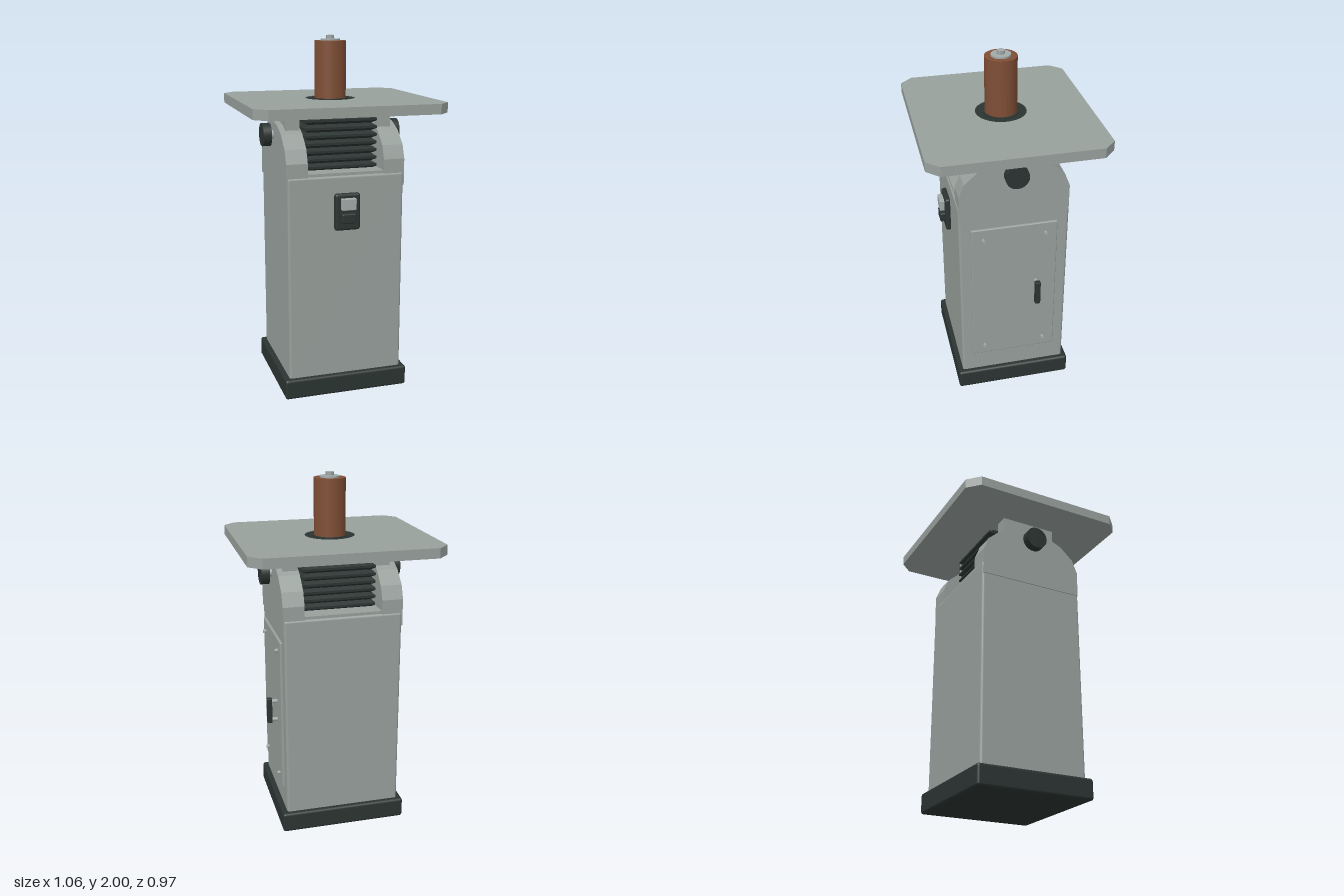
import * as THREE from 'three';
import { RoundedBoxGeometry } from 'three/addons/geometries/RoundedBoxGeometry.js';

const mat = (name, color) => {
  const m = new THREE.MeshStandardMaterial({ color });
  m.name = name;
  return m;
};

export function createModel() {
  const root = new THREE.Group();
  root.name = 'spindleSander';
  const grey = mat('grey paint', 0x98a09c);
  const dark = mat('dark rubber', 0x2b3432);
  const brown = mat('abrasive brown', 0x7f4e35);
  const steel = mat('steel', 0xa3abaa);

  const add = (name, geo, m, x = 0, y = 0, z = 0, parent = root) => {
    const mesh = new THREE.Mesh(geo, m);
    mesh.name = name;
    mesh.position.set(x, y, z);
    parent.add(mesh);
    return mesh;
  };
  // Boxes given by their min and max corners; r > 0 rounds the edges
  const box = (name, m, [x0, y0, z0], [x1, y1, z1], r = 0) => {
    const s = [x1 - x0, y1 - y0, z1 - z0];
    const g = r ? new RoundedBoxGeometry(...s, 3, r) : new THREE.BoxGeometry(...s);
    return add(name, g, m, (x0 + x1) / 2, (y0 + y1) / 2, (z0 + z1) / 2);
  };
  const rod = (name, m, r, y0, y1, n = 32) =>
    add(name, new THREE.CylinderGeometry(r, r, y1 - y0, n), m, 0, (y0 + y1) / 2, 0);
  // Cylinder lying along x
  const rodX = (name, m, r, x0, x1, y, z, n = 24) => {
    const g = new THREE.CylinderGeometry(r, r, Math.abs(x1 - x0), n).rotateZ(Math.PI / 2);
    return add(name, g, m, (x0 + x1) / 2, y, z);
  };

  // Cabinet
  box('base', dark, [-0.36, 0, -0.335], [0.36, 0.115, 0.335], 0.015);
  box('cabinet', grey, [-0.33, 0.08, -0.307], [0.33, 1.265, 0.307], 0.014);
  box('sill', grey, [-0.32, 1.2, -0.298], [0.32, 1.28, 0.298]);

  // Arched cheeks with tilt knobs and table brackets
  const half = [[0.302, 1.19], [0.302, 1.34], [0.272, 1.415], [0.195, 1.485], [0.11, 1.522], [0.04, 1.535]];
  const outline = [...half, ...half.slice().reverse().map(([z, y]) => [-z, y])];
  const cheekShape = new THREE.Shape(outline.map(([z, y]) => new THREE.Vector2(z, y)));
  for (const s of [1, -1]) {
    const g = new THREE.ExtrudeGeometry(cheekShape, { depth: 0.119, bevelEnabled: false });
    g.translate(0, 0, -0.0595).rotateY(Math.PI / 2);
    add('cheek', g, grey, s * 0.2755, 0, 0);
    const b = box('tableBracket', grey, [0.222, 1.4, -0.16], [0.302, 1.602, 0.16]);
    b.position.x *= s;
    rodX('knobShaft', steel, 0.025, s * 0.33, s * 0.36, 1.46, 0);
    rodX('knob', dark, 0.064, s * 0.353, s * 0.4, 1.46, 0, 32);
  }

  // Square pleated bellows
  const pts = [];
  const folds = 7, y0 = 1.275, pitch = 0.0425, k = Math.SQRT2;
  for (let i = 0; i < folds; i++) {
    pts.push(new THREE.Vector2(0.182 * k, y0 + i * pitch));
    pts.push(new THREE.Vector2(0.207 * k, y0 + (i + 0.35) * pitch));
    pts.push(new THREE.Vector2(0.207 * k, y0 + (i + 0.65) * pitch));
  }
  pts.push(new THREE.Vector2(0.182 * k, y0 + folds * pitch), new THREE.Vector2(0, y0 + folds * pitch));
  const bellows = new THREE.LatheGeometry(pts, 4).rotateY(Math.PI / 4).toNonIndexed();
  bellows.computeVertexNormals();
  add('bellows', bellows, dark);
  box('bellowsCollar', dark, [-0.16, 1.565, -0.16], [0.16, 1.602, 0.16]);

  // Table with clipped corners and a round throat
  const X = 0.532, Z = 0.483, c = 0.066;
  const top = new THREE.Shape([[X, c - Z], [X, Z - c], [X - c, Z], [c - X, Z], [-X, Z - c], [-X, c - Z], [c - X, -Z], [X - c, -Z]]
    .map(p => new THREE.Vector2(...p)));
  top.holes.push(new THREE.Path().absarc(0, 0, 0.14, 0, Math.PI * 2, true));
  const topGeo = new THREE.ExtrudeGeometry(top, { depth: 0.055, bevelEnabled: false, curveSegments: 32 });
  add('table', topGeo.rotateX(-Math.PI / 2), grey, 0, 1.6, 0);
  rod('throatInsert', dark, 0.14, 1.601, 1.652, 64);

  // Sanding spindle
  rod('drumSeat', dark, 0.1, 1.64, 1.656);
  rod('sandingDrum', brown, 0.088, 1.64, 1.97, 48);
  rod('washer', steel, 0.054, 1.965, 1.98);
  rod('hexNut', steel, 0.023, 1.975, 2.0, 6);

  // Access door with bolts and handle
  box('door', grey, [0.32, 0.24, -0.242], [0.343, 1.125, 0.242], 0.006);
  for (const y of [0.305, 1.06])
    for (const z of [-0.175, 0.175]) rodX('doorBolt', steel, 0.01, 0.34, 0.36, y, z, 12);
  for (const y of [0.625, 0.737]) rodX('handlePost', steel, 0.011, 0.34, 0.382, y, -0.125, 12);
  box('handleBar', dark, [0.374, 0.608, -0.141], [0.402, 0.757, -0.11], 0.004);

  // Power switch
  box('switchPlate', dark, [-0.072, 0.964, 0.3], [0.072, 1.17, 0.335], 0.014);
  box('startButton', steel, [-0.041, 1.082, 0.32], [0.041, 1.146, 0.362], 0.004);
  box('stopButton', dark, [-0.041, 1.008, 0.32], [0.041, 1.063, 0.362], 0.008);

  return root;
}
